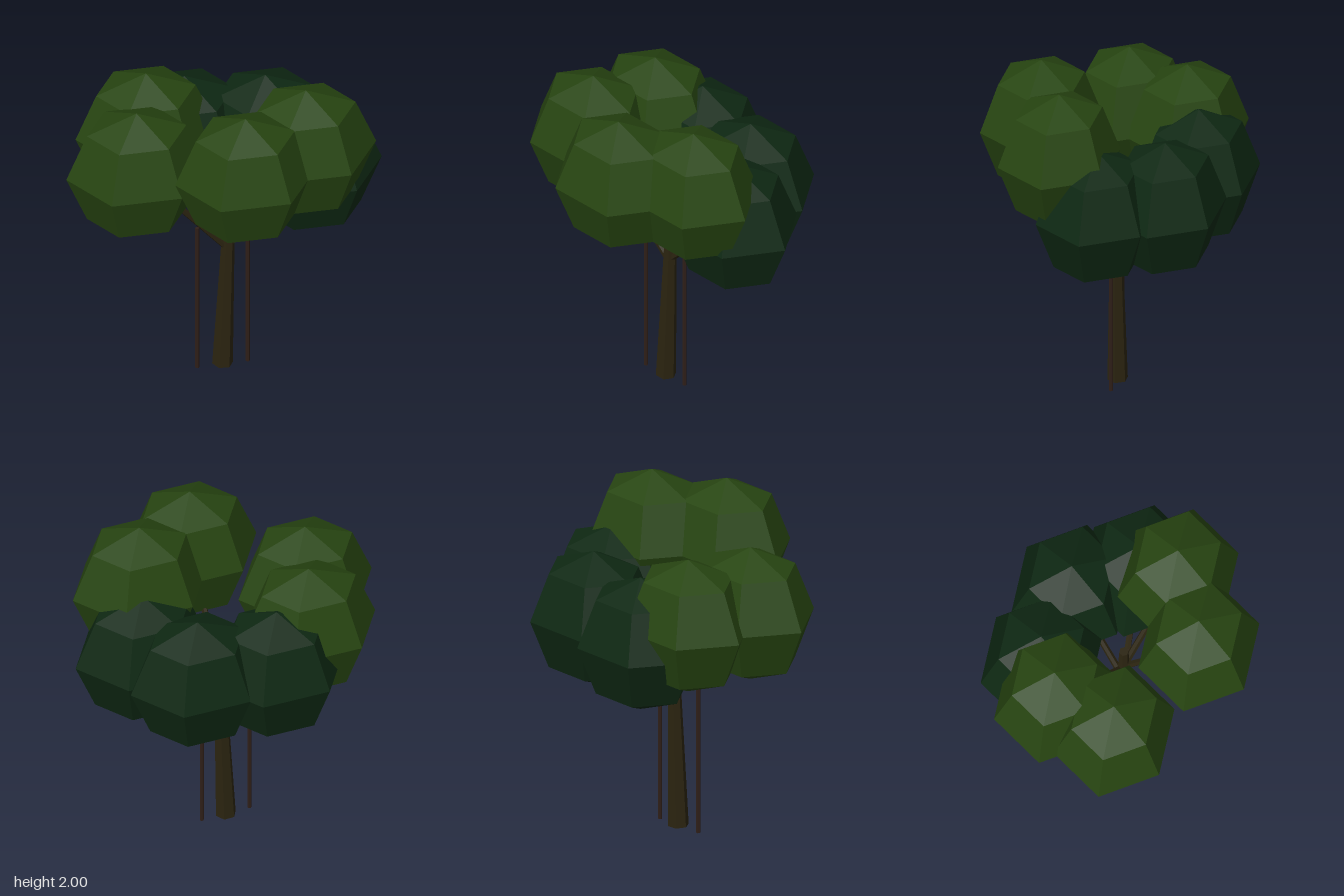
import * as THREE from 'three';

const V = (x, y, z) => new THREE.Vector3(x, y, z);

// Faceted normals for the low-poly look
function faceted(geometry) {
  const g = geometry.index ? geometry.toNonIndexed() : geometry;
  g.computeVertexNormals();
  return g;
}

// Tapered limb running between two points
function limb(name, from, to, r0, r1, sides, material) {
  const dir = to.clone().sub(from);
  const g = new THREE.CylinderGeometry(r1, r0, dir.length(), sides);
  g.rotateY(Math.PI / 2);
  const mesh = new THREE.Mesh(faceted(g), material);
  mesh.name = name;
  mesh.position.copy(from).add(to).multiplyScalar(0.5);
  mesh.quaternion.setFromUnitVectors(V(0, 1, 0), dir.normalize());
  return mesh;
}

export function createModel() {
  const mat = (name, color) => new THREE.MeshStandardMaterial({ name, color, flatShading: true });
  const lightLeaf = mat('light leaf green', 0x274511);
  const darkLeaf = mat('dark leaf green', 0x0e2813);
  const bark = mat('bark brown', 0x2b2410);
  const vineBrown = mat('vine brown', 0x2f1f18);

  const tree = new THREE.Group();
  tree.name = 'tree';

  // Slightly leaning trunk
  const base = V(-0.006, 0.005, 0), top = V(0.04, 1.24, 0);
  tree.add(limb('trunk', base, top, 0.06, 0.028, 6, bark));

  // Leaf clumps: centre, height where the branch leaves the trunk, colour
  const clumps = [
    ['frontClump', V(0.04, 1.595, 0.435), 1.02, lightLeaf],
    ['frontLeftClump', V(0.43, 1.595, 0.228), 1.02, lightLeaf],
    ['rightClump', V(-0.515, 1.45, 0.065), 0.8, lightLeaf],
    ['backRightClump', V(-0.388, 1.45, -0.308), 1.0, lightLeaf],
    ['backClump', V(-0.14, 1.305, -0.44), 0.85, darkLeaf],
    ['backLeftClump', V(0.312, 1.305, -0.362), 0.85, darkLeaf],
    ['leftClump', V(0.51, 1.305, -0.015), 0.82, darkLeaf],
  ];
  const leafGeometry = new THREE.SphereGeometry(0.406, 6, 4);
  leafGeometry.scale(1, 1, 0.87);
  const leaf = faceted(leafGeometry);
  for (const [name, centre, y, material] of clumps) {
    const clump = new THREE.Mesh(leaf, material);
    clump.name = name;
    clump.position.copy(centre);
    tree.add(clump);

    // Branch from the trunk into the clump
    const start = base.clone().lerp(top, y / top.y);
    const end = start.clone().lerp(centre, 0.75);
    tree.add(limb(name.replace('Clump', 'Branch'), start, end, 0.021, 0.017, 6, bark));
  }

  // Thin hanging vines that reach the ground
  for (const [name, x, h, z] of [['rightVine', -0.154, 0.97, 0.01], ['leftVine', 0.14, 0.98, 0]]) {
    tree.add(limb(name, V(x, 0, z), V(x, h, z), 0.012, 0.012, 6, vineBrown));
  }
  return tree;
}
